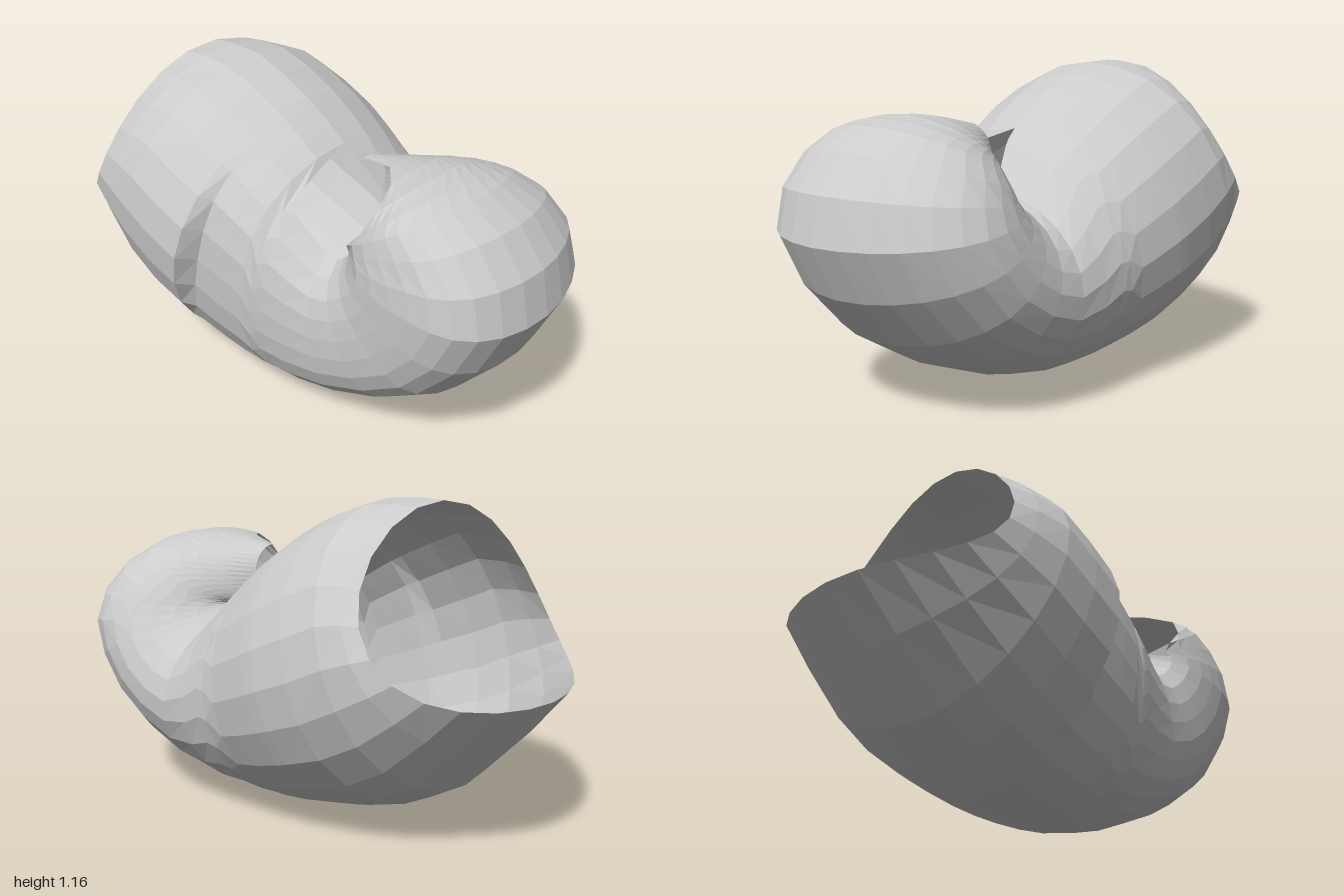
import * as THREE from 'three';

const spline = (...points) => new THREE.SplineCurve(points.map(([x, y]) => new THREE.Vector2(x, y)));
const { smoothstep } = THREE.MathUtils;

// Ten stations run from the wide mouth (left) round to the curled end (right)
const LAST = 9, SIDES = 24;
const outerPath = spline([-1, .54], [-.66, .17], [-.36, .045], [0, 0], [.35, .05],
  [.76, .26], [1, .62], [.87, .9], [.6, 1], [.27, .95]);
const innerPath = spline([-.57, 1.155], [-.34, 1.155], [-.08, 1.05], [.14, .89], [.28, .73],
  [.31, .72], [.32, .72], [.33, .72], [.32, .72], [.26, .71]);
// Depth towards the front and the back
const depths = spline([.5, .5], [.55, .55], [.55, .555], [.52, .51], [.48, .49],
  [.47, .48], [.48, .45], [.46, .37], [.4, .24], [.12, .04]);

// Elliptical ring between the outer and inner paths at station u
function ring(u) {
  const outer = outerPath.getPoint(u / LAST), inner = innerPath.getPoint(u / LAST);
  const depth = depths.getPoint(u / LAST);
  const crease = u > 2.1 ? .07 : 0; // fold in the front behind the wide end
  const mouth = Math.max(0, 1 - u); // fades out the bow and tilt of the rim
  // The inner wall is left open at the saddle, most of all at the curled end
  const gapFront = .65 * smoothstep(u, 2.8, 3.1) + 2.2 * smoothstep(u, 7.1, 8.6);
  const gapBack = .13 * smoothstep(u, 2.8, 4);
  const points = [];
  for (let j = 0; j <= SIDES; j++) {
    const t = gapFront + (Math.PI * 2 - gapFront - gapBack) * j / SIDES;
    const c = (1 + Math.cos(t)) / 2, s = Math.sin(t);
    const lean = .05 * (1 - c) ** 2 * Math.min(1, u); // underside sits slightly forward
    points.push(
      outer.x + (inner.x - outer.x) * c + mouth * (.1 * s * s - .07 * s * c),
      outer.y + (inner.y - outer.y) * c - mouth * .14 * s * s,
      s * (s > 0 ? depth.x - crease * s ** 4 : depth.y) + lean * (1 - s * s),
    );
  }
  return points;
}

export function createModel() {
  // A ring every half station, with more to sharpen the crease and the hole
  const stations = [2.15, 2.8, 3.15, 7.75, 8.25];
  for (let i = 0; i <= LAST * 2; i++) stations.push(i / 2);
  stations.sort((a, b) => a - b);

  const index = [];
  for (let i = 0; i < stations.length - 1; i++) {
    for (let j = 0; j < SIDES; j++) {
      const a = i * (SIDES + 1) + j, b = a + SIDES + 1;
      index.push(a, a + 1, b, b, a + 1, b + 1);
    }
  }
  const geometry = new THREE.BufferGeometry();
  geometry.setAttribute('position', new THREE.Float32BufferAttribute(stations.flatMap(ring), 3));
  geometry.setIndex(index);
  geometry.computeVertexNormals();

  // Hollow shell, visible from inside through both openings
  const shell = new THREE.Mesh(geometry, new THREE.MeshStandardMaterial({
    color: 0xcccccc, flatShading: true, side: THREE.DoubleSide,
  }));
  shell.name = 'curvedHollowShell';
  const group = new THREE.Group();
  group.name = 'curledShell';
  group.add(shell);
  return group;
}
